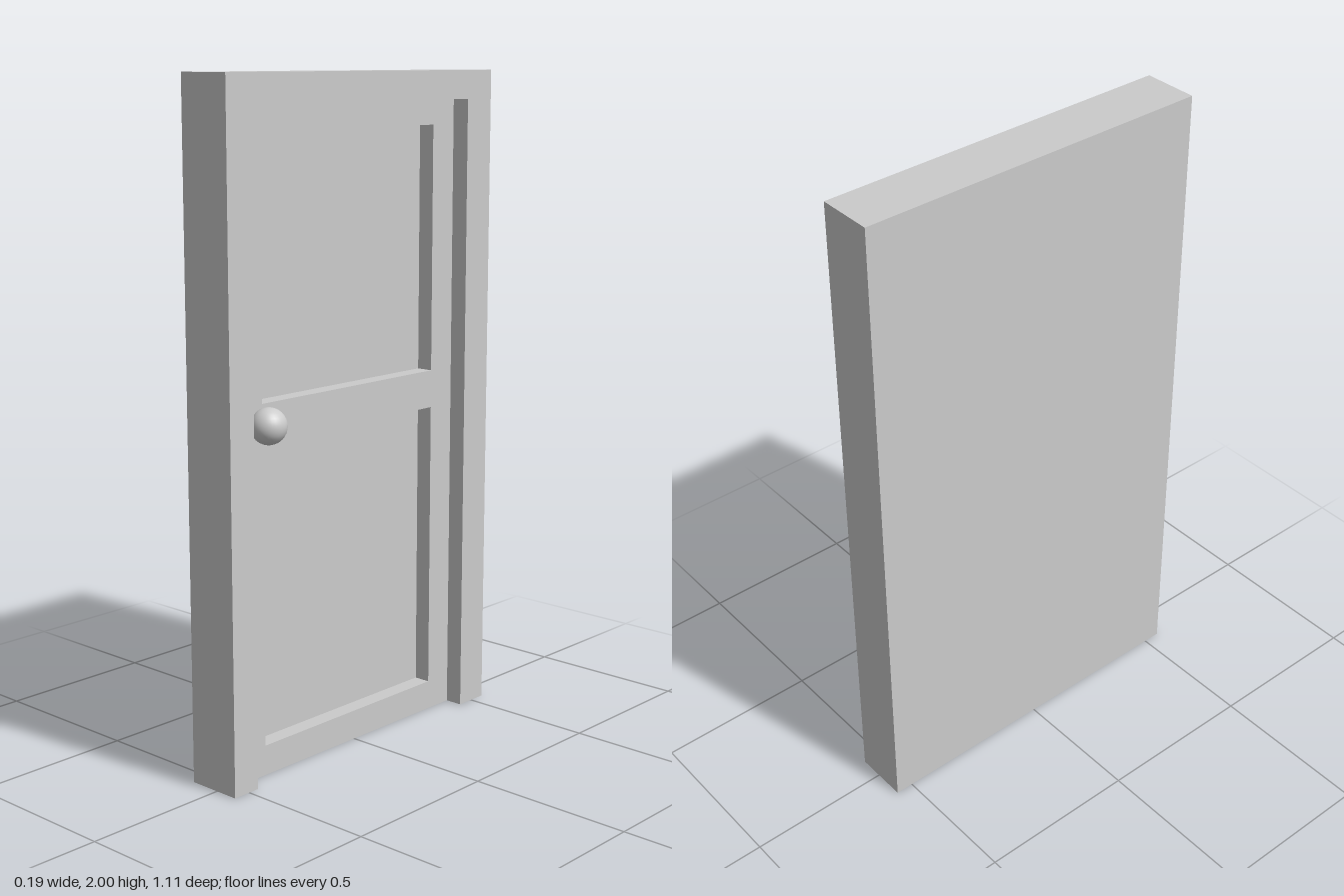
import * as THREE from 'three';

const BACK = -0.096;   // rear plane of the whole door
const FRONT = 0.074;   // face of the frame
const LEAF = 0.019;    // face of the door leaf
const PANEL = -0.033;  // face of the sunken panels

// Outline points are [z, y]; extruding and turning maps depth onto x
function slab(name, outline, holes, x0, x1, material) {
  const points = (list) => list.map(([z, y]) => new THREE.Vector2(-z, y));
  const shape = new THREE.Shape(points(outline));
  for (const hole of holes) shape.holes.push(new THREE.Path(points(hole)));
  const geometry = new THREE.ExtrudeGeometry(shape, { depth: x1 - x0, bevelEnabled: false });
  geometry.rotateY(Math.PI / 2);
  geometry.translate(x0, 0, 0);
  const mesh = new THREE.Mesh(geometry, material);
  mesh.name = name;
  return mesh;
}

const rect = (z0, z1, y0, y1) => [[z0, y0], [z1, y0], [z1, y1], [z0, y1]];

export function createModel() {
  const group = new THREE.Group();
  group.name = 'door';
  const material = new THREE.MeshStandardMaterial({ color: 0xcccccc });

  // Surround: two jambs and a head, open at the floor
  const frameOutline = [
    [0.555, 0], [0.465, 0], [0.465, 1.915], [-0.445, 1.915],
    [-0.445, 0], [-0.555, 0], [-0.555, 2], [0.555, 2],
  ];
  group.add(slab('doorFrame', frameOutline, [], BACK, FRONT, material));

  // Leaf with two panel openings, over a solid backing
  const opening = rect(0.465, -0.445, 0, 1.915);
  const panels = [rect(0.38, -0.35, 0.09, 0.98), rect(0.38, -0.35, 1.095, 1.84)];
  group.add(slab('doorLeaf', opening, panels, PANEL, LEAF, material));
  group.add(slab('panelBacking', opening, [], BACK, PANEL, material));

  // Round knob set into the leaf
  const knob = new THREE.Mesh(new THREE.SphereGeometry(0.053, 32, 16), material);
  knob.name = 'doorKnob';
  knob.position.set(0.043, 1.035, 0.378);
  group.add(knob);

  return group;
}
